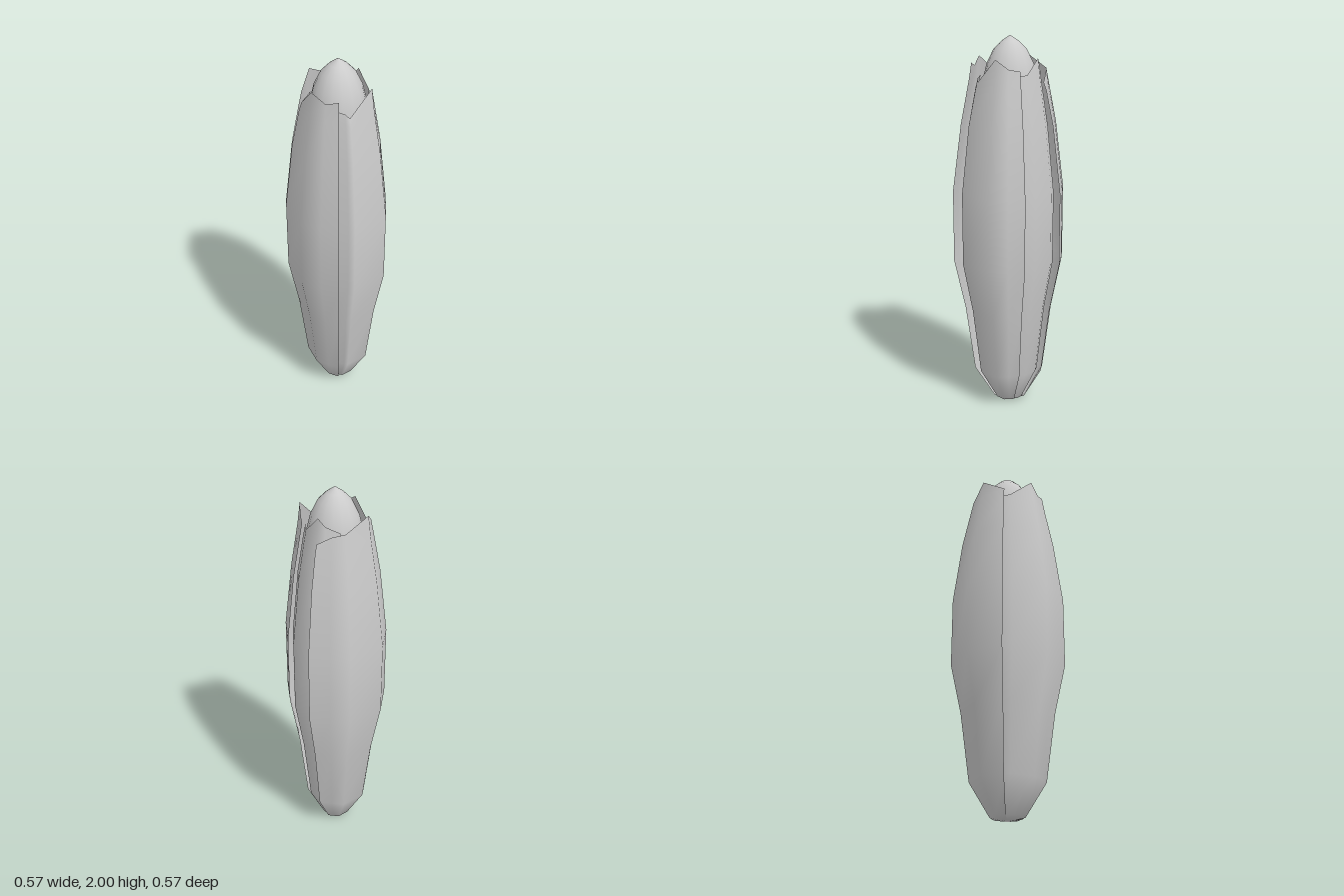
import * as THREE from 'three';

const material = new THREE.MeshStandardMaterial({ color: 0xcccccc, side: THREE.DoubleSide });

// Height and girth of the husk, from the pinched foot to the rim
const rows = [
  [0.0, 0.06], [0.015, 0.29], [0.19, 0.64], [0.55, 0.8], [0.82, 0.99],
  [1.2, 0.99], [1.55, 0.84], [1.78, 0.7], [1.89, 0.65],
];

// A leaf is a strip of columns [x, z, tipHeight], listed left to right from outside
function leaf(name, columns) {
  const positions = [], index = [];
  const n = rows.length;
  for (const [x, z, tip] of columns) {
    rows.forEach(([y, s], j) => {
      // the two upper rows drop together to give the jagged rim
      const drop = j === n - 1 ? 1.89 - tip : j === n - 2 ? (1.89 - tip) * 0.4 : 0;
      positions.push(x * s, y - drop, z * s);
    });
  }
  for (let i = 0; i < columns.length - 1; i++) {
    for (let j = 0; j < n - 1; j++) {
      const a = i * n + j, b = a + n;
      index.push(a, b, b + 1, a, b + 1, a + 1);
    }
  }
  const geometry = new THREE.BufferGeometry();
  geometry.setAttribute('position', new THREE.Float32BufferAttribute(positions, 3));
  geometry.setIndex(index);
  geometry.computeVertexNormals();
  const mesh = new THREE.Mesh(geometry, material);
  mesh.name = name;
  return mesh;
}

export function createModel() {
  const group = new THREE.Group();
  group.name = 'huskedBud';

  // Rounded core peeking out of the husk
  const profile = [
    [0, 0.01], [0.05, 0.03], [0.1, 0.2], [0.15, 0.5], [0.175, 0.9], [0.175, 1.3],
    [0.16, 1.6], [0.14, 1.78], [0.12, 1.86], [0.085, 1.93], [0.045, 1.97], [0, 2],
  ].map(([r, y]) => new THREE.Vector2(r, y));
  const core = new THREE.Mesh(new THREE.LatheGeometry(profile, 16), material);
  core.name = 'core';
  group.add(core);

  // Four overlapping husk leaves; the end columns tuck under their neighbours
  group.add(
    leaf('frontLeaf', [
      [-0.22, 0.05, 1.8], [-0.2, 0.19, 1.78], [-0.03, 0.29, 1.89],
      [0.085, 0.273, 1.845], [0.182, 0.248, 1.865],
    ]),
    leaf('leftLeaf', [
      [0.1, 0.21, 1.8], [0.195, 0.185, 1.79], [0.225, 0.17, 1.77], [0.29, -0.015, 1.89],
      [0.235, -0.1, 1.84], [0.185, -0.175, 1.83],
    ]),
    leaf('backLeaf', [
      [0.21, -0.08, 1.8], [0.135, -0.21, 1.81], [0.015, -0.246, 1.89],
      [-0.04, -0.235, 1.85], [-0.14, -0.19, 1.82],
    ]),
    leaf('rightLeaf', [
      [0.005, -0.29, 1.77], [-0.1, -0.26, 1.81], [-0.2, -0.223, 1.83],
      [-0.29, -0.03, 1.89], [-0.23, 0.152, 1.82],
    ]),
  );
  return group;
}
